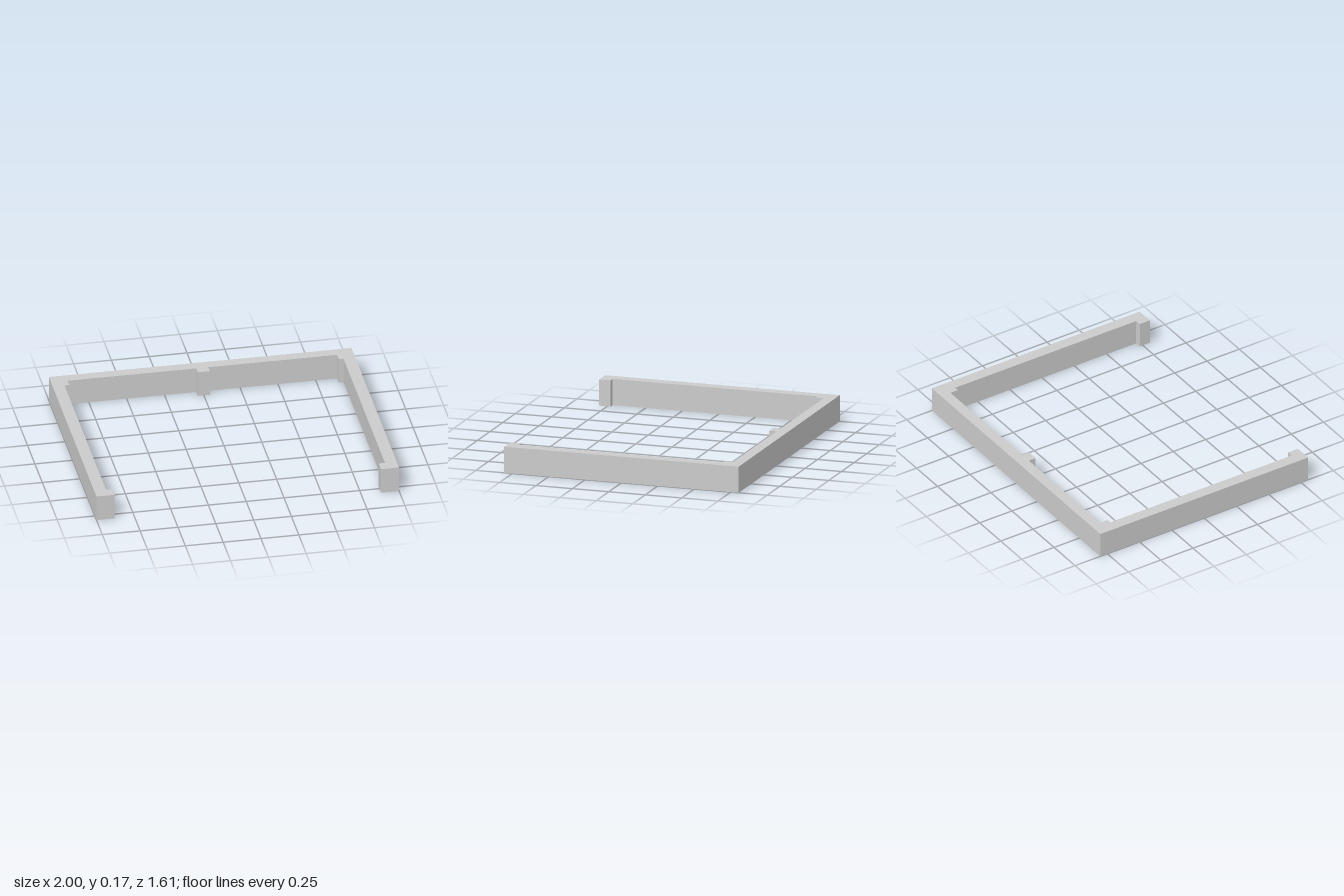
import * as THREE from 'three';

const HEIGHT = 0.175;

// Right half of the plan as [x, z], from the centre rib round to the back outer corner
const HALF_PLAN = [
  [0.04, -0.68], [0.04, -0.733],    // half of the centre rib
  [0.89, -0.733], [0.89, -0.676],   // inner corner post
  [0.922, -0.676], [0.922, 0.727],  // side wall, inner face
  [0.88, 0.727], [0.88, 0.805],     // end return
  [1, 0.805], [1, -0.805],          // side wall, outer face
];

export function createModel() {
  const group = new THREE.Group();
  group.name = 'threeSidedFrame';

  // Mirror the half plan to close the outline; shape y is -z
  const mirrored = HALF_PLAN.map(([x, z]) => [-x, z]).reverse();
  const outline = [...HALF_PLAN, ...mirrored].map(([x, z]) => new THREE.Vector2(x, -z));

  const geometry = new THREE.ExtrudeGeometry(new THREE.Shape(outline), {
    depth: HEIGHT,
    bevelEnabled: false,
  });
  geometry.rotateX(-Math.PI / 2);

  const walls = new THREE.Mesh(
    geometry,
    new THREE.MeshStandardMaterial({ color: 0xcccccc, flatShading: true })
  );
  walls.name = 'wallsWithRibAndPosts';
  group.add(walls);
  return group;
}
